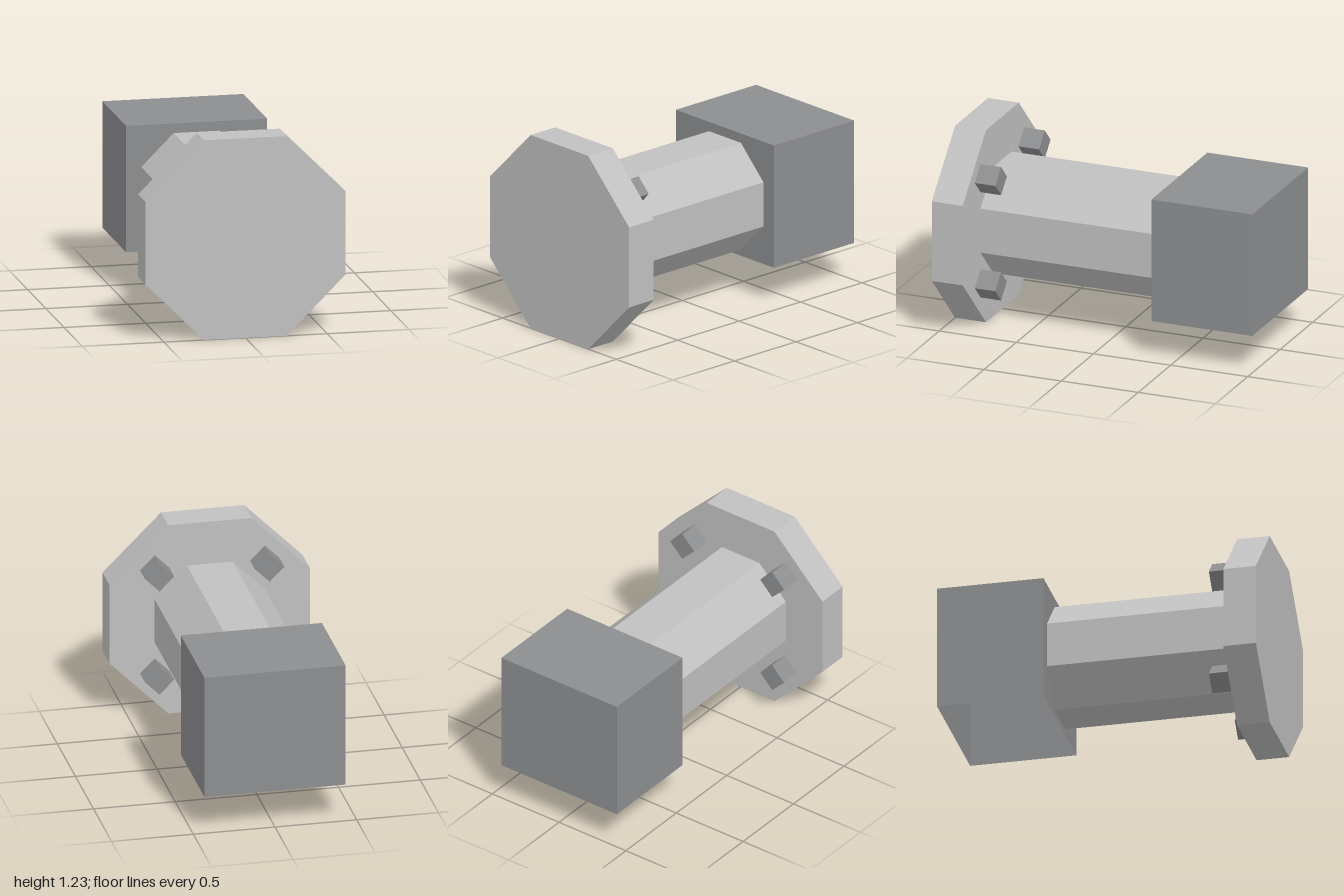
import * as THREE from 'three';

const steel = new THREE.MeshStandardMaterial({ color: 0xc0c0c0, flatShading: true });
steel.name = 'light steel';
const iron = new THREE.MeshStandardMaterial({ color: 0x8d8e90, flatShading: true, side: THREE.DoubleSide });
iron.name = 'dark iron';

const AXIS_Y = 0.614;

// Regular prism lying along z, between two z positions
function prism(name, sides, radius, zBack, zFront, x, y, turn, material) {
  const geometry = new THREE.CylinderGeometry(radius, radius, zFront - zBack, sides, 1, false, turn);
  geometry.rotateX(Math.PI / 2);
  const mesh = new THREE.Mesh(geometry, material);
  mesh.name = name;
  mesh.position.set(x, y, (zBack + zFront) / 2);
  return mesh;
}

export function createModel() {
  const model = new THREE.Group();
  model.name = 'flangedPost';

  // Octagonal plate and shaft, flat side up
  const eighth = Math.PI / 8;
  const flat = Math.cos(eighth);
  model.add(prism('flange', 8, 0.613 / flat, 0.8, 1, 0, AXIS_Y, eighth, steel));
  model.add(prism('shaft', 8, 0.339 / flat, -0.35, 0.8, 0, AXIS_Y + 0.001, eighth, steel));

  // Four diamond-set bolts on the back of the flange
  const bolts = new THREE.Group();
  bolts.name = 'bolts';
  for (const sx of [-1, 1]) {
    for (const sy of [-1, 1]) {
      bolts.add(prism('bolt', 4, 0.09, 0.667, 0.8, sx * 0.337, AXIS_Y + sy * 0.336, 0, iron));
    }
  }
  model.add(bolts);

  // Thin-walled housing, open underneath
  const shell = new THREE.BoxGeometry(0.864, 0.776, 0.653);
  const index = Array.from(shell.index.array);
  index.splice(18, 6); // drop the bottom face
  shell.setIndex(index);
  shell.clearGroups();
  const housing = new THREE.Mesh(shell, iron);
  housing.name = 'housing';
  housing.position.set(0, 0.625, -0.6735);
  model.add(housing);

  return model;
}
